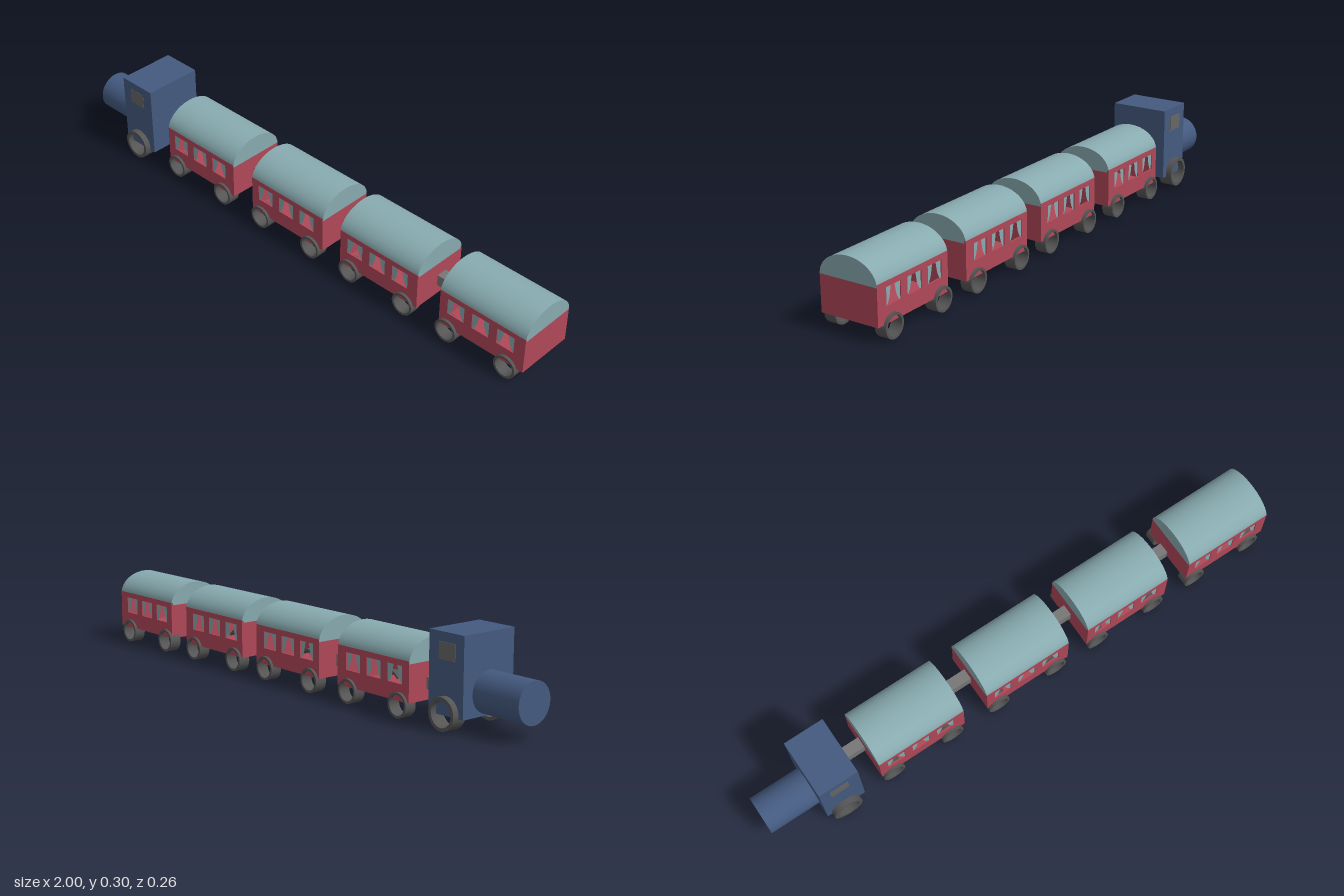
import * as THREE from 'three';

const mat = (color) => new THREE.MeshStandardMaterial({ color, side: THREE.DoubleSide });
const blue = mat(0x445a80), red = mat(0xb04858), teal = mat(0x88abb0);
const dark = mat(0x555555), grey = mat(0x777777), pane = mat(0x666666);

function add(parent, name, geometry, material, x = 0, y = 0, z = 0) {
  const mesh = new THREE.Mesh(geometry, material);
  mesh.name = name;
  mesh.position.set(x, y, z);
  parent.add(mesh);
  return mesh;
}
const box = (w, h, d) => new THREE.BoxGeometry(w, h, d);

// Open rim with its axle along z
function rim(r, inner, width) {
  const h = width / 2;
  const corners = [[inner, -h], [r, -h], [r, h], [inner, h], [inner, -h]];
  const pts = [];
  // Corners are doubled so that the edges stay sharp
  corners.forEach(([a, b]) => pts.push(new THREE.Vector2(a, b), new THREE.Vector2(a, b)));
  return new THREE.LatheGeometry(pts.slice(1, -1), 32).rotateX(Math.PI / 2);
}

// Carriage dimensions
const L = 0.332, HALF = 0.1065, WALL = 0.006;
const FLOOR = 0.055, EAVE = 0.178, SIDE_TOP = 0.187;
const WIN = { w: 0.066, y0: 0.11, y1: 0.168, step: 0.097 };
const windowXs = [-1, 0, 1].map((i) => i * WIN.step - 0.005);

// Side wall with three window holes
function sideWall() {
  const s = new THREE.Shape();
  s.moveTo(-L / 2, FLOOR).lineTo(L / 2, FLOOR).lineTo(L / 2, SIDE_TOP).lineTo(-L / 2, SIDE_TOP).closePath();
  for (const x of windowXs) {
    const a = x - WIN.w / 2, b = x + WIN.w / 2;
    const hole = new THREE.Path();
    hole.moveTo(a, WIN.y0).lineTo(a, WIN.y1).lineTo(b, WIN.y1).lineTo(b, WIN.y0).closePath();
    s.holes.push(hole);
  }
  return new THREE.ExtrudeGeometry(s, { depth: WALL, bevelEnabled: false }).translate(0, 0, -WALL / 2);
}

// One drawn curtain, sweeping from the middle of the window to its lower corner
function curtain(side) {
  const e = side * WIN.w / 2;
  const s = new THREE.Shape();
  s.moveTo(e, WIN.y0).lineTo(e, WIN.y1).lineTo(e * 0.25, WIN.y1);
  s.bezierCurveTo(e * 0.42, WIN.y1 - 0.025, e * 0.4, WIN.y0 + 0.018, e * 0.85, WIN.y0);
  s.closePath();
  return new THREE.ShapeGeometry(s, 8);
}

// Half-elliptical barrel roof
function roof() {
  const s = new THREE.Shape();
  s.moveTo(HALF, EAVE);
  s.absellipse(0, EAVE, HALF, 0.077, 0, Math.PI, false, 0);
  s.closePath();
  return new THREE.ExtrudeGeometry(s, { depth: L, bevelEnabled: false, curveSegments: 32 })
    .translate(0, 0, -L / 2).rotateY(Math.PI / 2);
}

function carriage(bodyX, wheelX) {
  const g = new THREE.Group();
  g.name = 'carriage';
  g.position.set(bodyX, 0, -0.0095);
  add(g, 'floor', box(L, WALL, HALF * 2), red, 0, FLOOR + WALL / 2, 0);
  add(g, 'roof', roof(), teal);
  for (const s of [-1, 1]) {
    add(g, 'endWall', box(WALL, EAVE - FLOOR, HALF * 2), red, s * (L - WALL) / 2, (EAVE + FLOOR) / 2, 0);
    add(g, 'sideWall', sideWall(), red, 0, 0, s * (HALF - WALL / 2));
    for (const x of windowXs) {
      for (const c of [-1, 1]) add(g, 'curtain', curtain(c), teal, x, 0, s * (HALF - WALL / 2));
    }
    for (const w of [-1, 1]) {
      add(g, 'wheel', rim(0.041, 0.033, 0.042), dark, wheelX - bodyX + w * 0.1175, 0.043, s * 0.0955);
    }
  }
  return g;
}

function locomotive() {
  const g = new THREE.Group();
  g.name = 'locomotive';
  add(g, 'boiler', new THREE.CylinderGeometry(0.068, 0.068, 0.19, 32).rotateZ(Math.PI / 2), blue, -0.905, 0.117, 0.001);
  add(g, 'cab', box(0.146, 0.256, 0.213), blue, -0.743, 0.173, 0.0005);
  for (const s of [-1, 1]) {
    add(g, 'cabWindow', box(0.068, 0.054, 0.004), pane, -0.746, 0.243, s * 0.106);
    add(g, 'cabWheel', rim(0.053, 0.042, 0.052), dark, -0.745, 0.054, s * 0.102);
  }
  return g;
}

export function createModel() {
  const train = new THREE.Group();
  train.name = 'train';
  train.add(locomotive());
  // Body centre and wheelbase centre; the last body sits slightly further back
  [[-0.428, -0.433], [-0.003, -0.008], [0.409, 0.404], [0.834, 0.819]]
    .forEach(([body, wheels]) => train.add(carriage(body, wheels)));
  // Coupling bars from, to along x
  for (const [a, b] of [[-0.672, -0.592], [-0.264, -0.167], [0.161, 0.245], [0.573, 0.653]]) {
    add(train, 'coupling', box(b - a, 0.04, 0.04), grey, (a + b) / 2, 0.11, -0.022);
  }
  return train;
}
